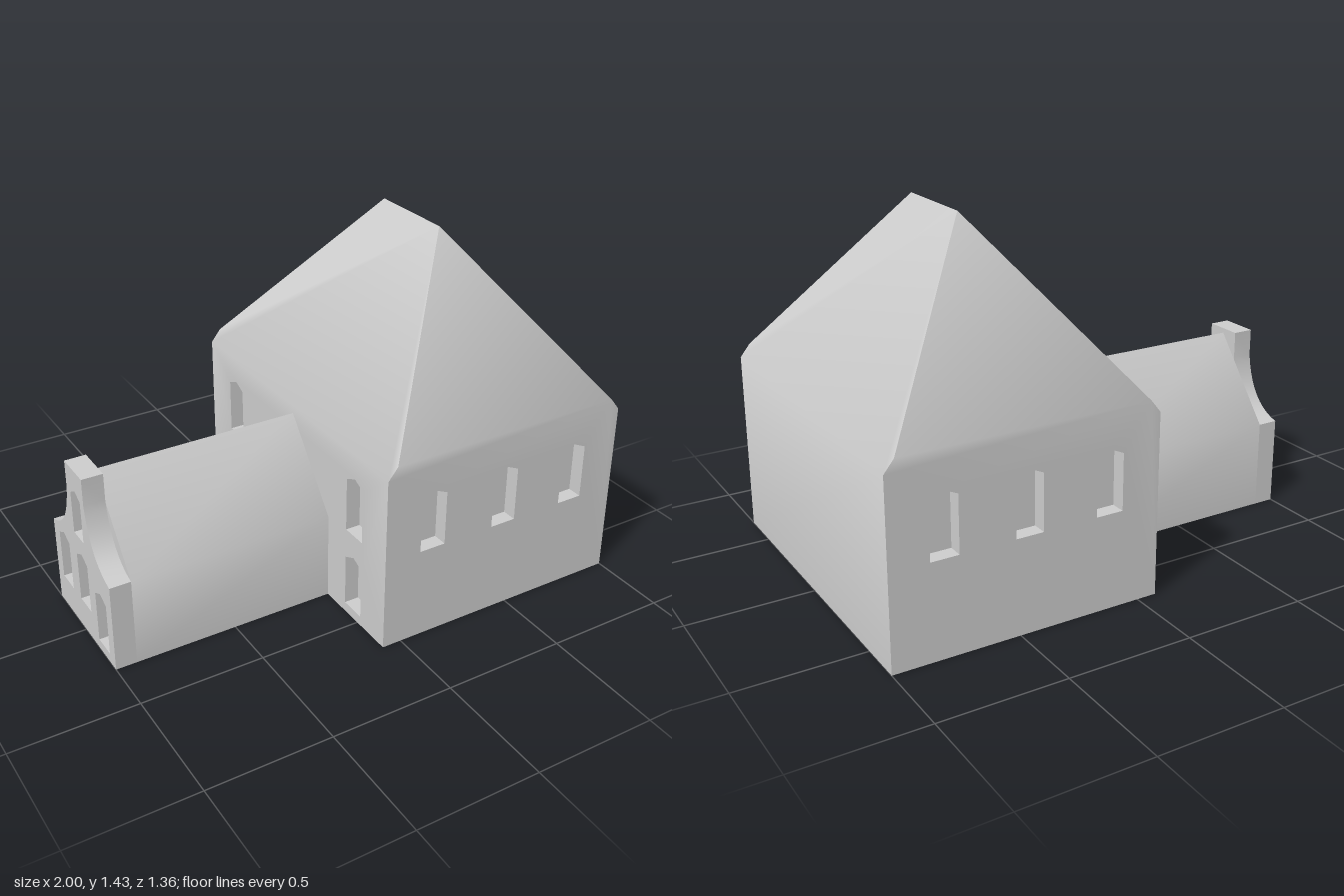
import * as THREE from 'three';
import { mergeGeometries, toCreasedNormals } from 'three/addons/utils/BufferGeometryUtils.js';

const plaster = new THREE.MeshStandardMaterial({ color: 0xcccccc });
plaster.name = 'palePlaster';

// Convex polygon from corners listed counter-clockwise as seen from outside
function poly(...pts) {
  const pos = [];
  for (let i = 1; i < pts.length - 1; i++) pos.push(...pts[0], ...pts[i], ...pts[i + 1]);
  const g = new THREE.BufferGeometry();
  g.setAttribute('position', new THREE.Float32BufferAttribute(pos, 3));
  return g;
}

// Flat face from a 2D outline with holes
function face(outline, holes = []) {
  const shape = new THREE.Shape(outline);
  shape.holes = holes.map(h => new THREE.Path(h));
  const g = new THREE.ShapeGeometry(shape).toNonIndexed();
  g.deleteAttribute('uv');
  g.deleteAttribute('normal');
  return g;
}

// Strip around an outline, from depth z0 to depth z1
function band(outline, z0, z1) {
  return outline.map((a, i) => {
    const b = outline[(i + 1) % outline.length];
    return poly([a.x, a.y, z0], [b.x, b.y, z0], [b.x, b.y, z1], [a.x, a.y, z1]);
  });
}

const points = list => list.map(([x, y]) => new THREE.Vector2(x, y));

// Window opening with a shallow pointed head
const opening = (u, bottom, top, w = 0.11) => points([
  [u - w / 2, bottom], [u + w / 2, bottom], [u + w / 2, top - 0.025],
  [u, top], [u - w / 2, top - 0.025],
]);

// Wall with recessed windows, facing +z in its own frame
function wall(outline, windows, depth) {
  const parts = [face(outline, windows)];
  for (const w of windows) {
    parts.push(face(w).translate(0, 0, -depth), ...band(w, 0, -depth));
  }
  return mergeGeometries(parts);
}

function part(name, geometries) {
  const mesh = new THREE.Mesh(toCreasedNormals(mergeGeometries(geometries), Math.PI / 4), plaster);
  mesh.name = name;
  return mesh;
}

// Main house: block with a steep hipped roof
function mainHouse() {
  const cx = 0.46, hx = 0.54, hz = 0.68, eaveX = 0.73, eaveZ = 0.78;
  const ridgeY = 1.427, ridgeZ = 0.185, kink = 0.5;
  const endOutline = points([
    [-hx, 0], [hx, 0], [hx, eaveX], [kink, eaveZ], [-kink, eaveZ], [-hx, eaveX],
  ]);
  const parts = [];
  // Front and back walls with their roof slopes
  for (const turn of [0, Math.PI]) {
    const windows = [-0.33, 0, 0.33].map(u => opening(u, 0.38, 0.63));
    parts.push(wall(endOutline, windows, 0.06).translate(0, 0, hz).rotateY(turn));
    parts.push(poly([-kink, eaveZ, hz], [kink, eaveZ, hz], [0, ridgeY, ridgeZ]).rotateY(turn));
  }
  // Side walls with their roof slopes; only the wing side has windows
  for (const side of [-1, 1]) {
    const turn = side * Math.PI / 2;
    const windows = [];
    if (side < 0) {
      for (const u of [-0.465, 0.465]) windows.push(opening(u, 0.04, 0.28), opening(u, 0.38, 0.63));
    }
    const outline = points([[-hz, 0], [hz, 0], [hz, eaveX], [-hz, eaveX]]);
    parts.push(wall(outline, windows, 0.06).translate(0, 0, hx).rotateY(turn));
    parts.push(poly(
      [ridgeZ, ridgeY, 0], [-ridgeZ, ridgeY, 0], [-hz, eaveZ, kink],
      [-hz, eaveX, hx], [hz, eaveX, hx], [hz, eaveZ, kink],
    ).rotateY(turn));
  }
  parts.push(poly([-hx, 0, -hz], [hx, 0, -hz], [hx, 0, hz], [-hx, 0, hz]));
  const mesh = part('mainHouse', parts);
  mesh.position.x = cx;
  return mesh;
}

// Low wing with a pitched roof
function wing() {
  const x0 = -0.915, x1 = -0.08, h = 0.27, eave = 0.365, ridge = 0.7;
  const parts = [
    poly([x0, 0, -h], [x1, 0, -h], [x1, 0, h], [x0, 0, h]),
    poly([x0, 0, -h], [x0, 0, h], [x0, eave, h], [x0, ridge, 0], [x0, eave, -h]),
    poly([x0, 0, h], [x1, 0, h], [x1, eave, h], [x0, eave, h]),
    poly([x0, eave, h], [x1, eave, h], [x1, ridge, 0], [x0, ridge, 0]),
    poly([x1, 0, -h], [x0, 0, -h], [x0, eave, -h], [x1, eave, -h]),
    poly([x1, eave, -h], [x0, eave, -h], [x0, ridge, 0], [x1, ridge, 0]),
  ];
  return part('wing', parts);
}

// Curved gable slab closing the end of the wing
function curvedGable() {
  const thickness = 0.085;
  const sweep = new THREE.QuadraticBezierCurve(
    new THREE.Vector2(0.27, 0.365), new THREE.Vector2(0.11, 0.4), new THREE.Vector2(0.08, 0.61),
  ).getPoints(10);
  const right = [new THREE.Vector2(0.27, 0), ...sweep, new THREE.Vector2(0.08, 0.72)];
  const left = right.map(p => new THREE.Vector2(-p.x, p.y)).reverse();
  const outline = [...right, ...left];
  const windows = [
    opening(-0.165, 0.13, 0.36, 0.1), opening(0.01, 0.13, 0.36, 0.1),
    opening(0.17, 0.04, 0.28, 0.1), opening(0, 0.43, 0.63, 0.09),
  ];
  const mesh = part('curvedGable', [
    wall(outline, windows, 0.05),
    face(outline).rotateY(Math.PI).translate(0, 0, -thickness),
    ...band(outline, -thickness, 0),
  ]);
  mesh.rotation.y = -Math.PI / 2;
  mesh.position.x = -1;
  return mesh;
}

export function createModel() {
  const model = new THREE.Group();
  model.name = 'house';
  const sideWing = new THREE.Group();
  sideWing.name = 'sideWing';
  sideWing.position.z = 0.012;
  sideWing.add(wing(), curvedGable());
  model.add(mainHouse(), sideWing);
  return model;
}
